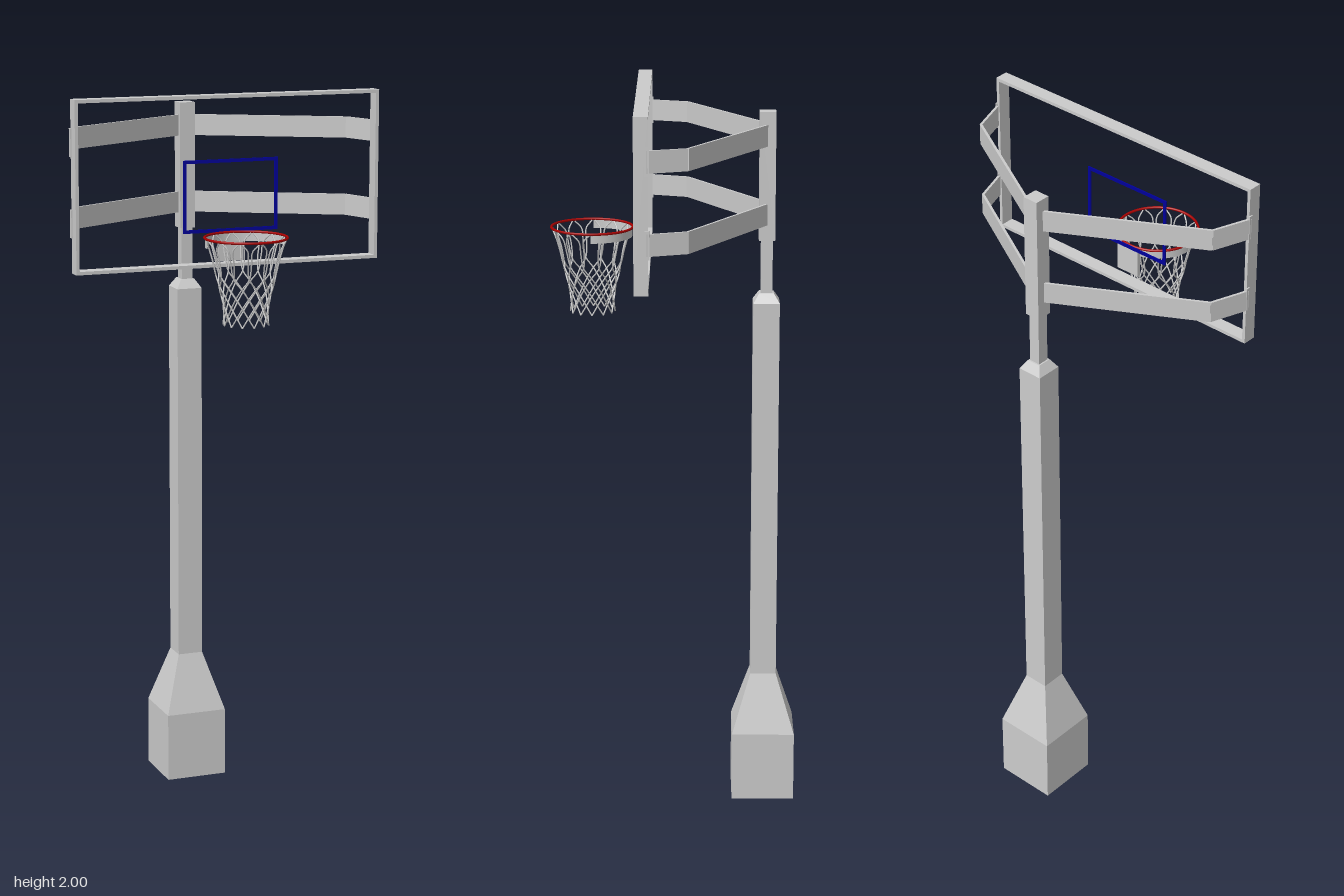
import * as THREE from 'three';
import { mergeGeometries } from 'three/addons/utils/BufferGeometryUtils.js';

const grey = new THREE.MeshStandardMaterial({ color: 0xcccccc, flatShading: true });
const greySmooth = new THREE.MeshStandardMaterial({ color: 0xcccccc, side: THREE.DoubleSide });
const red = new THREE.MeshStandardMaterial({ color: 0xaa0000 });
const blue = new THREE.MeshStandardMaterial({ color: 0x000099 });

const POLE_Z = -0.25, RIM_Y = 1.635, RIM_Z = 0.223, RIM_R = 0.11;

export function createModel() {
  const model = new THREE.Group();

  function add(name, geometry, material, x = 0, y = 0, z = 0) {
    const mesh = new THREE.Mesh(geometry, material);
    mesh.name = name;
    mesh.position.set(x, y, z);
    model.add(mesh);
    return mesh;
  }

  // Square column from [halfWidth, y] steps
  function squareColumn(profile) {
    const points = profile.map(([h, y]) => new THREE.Vector2(h * Math.SQRT2, y));
    return new THREE.LatheGeometry(points, 4, Math.PI / 4);
  }

  // Rectangular frame standing in the xy plane
  function frame(width, height, bar, depth) {
    const rect = (P, w, h) => new P([[-w, -h], [w, -h], [w, h], [-w, h]]
      .map(([x, y]) => new THREE.Vector2(x / 2, y / 2)));
    const shape = rect(THREE.Shape, width, height);
    shape.holes.push(rect(THREE.Path, width - 2 * bar, height - 2 * bar));
    return new THREE.ExtrudeGeometry(shape, { depth, bevelEnabled: false });
  }

  // Padded base, post and the thinner extension above it
  add('paddedPost', squareColumn([[0, 0], [0.0875, 0], [0.0875, 0.195], [0.036, 0.36],
    [0.036, 1.43], [0.02, 1.455], [0, 1.455]]), grey, 0, 0, POLE_Z);
  add('postExtension', squareColumn([[0.016, 1.45], [0.016, 1.6]]), grey, 0, 0, POLE_Z);
  add('postHead', squareColumn([[0, 1.6], [0.022, 1.6], [0.022, 1.95], [0, 1.95]]), grey, 0, 0, POLE_Z);

  // Backboard frame and target square
  add('backboardFrame', frame(0.864, 0.46, 0.009, 0.038), grey, 0, 1.77, 0.065);
  add('targetSquare', frame(0.27, 0.195, 0.009, 0.004), blue, 0.003, 1.732, 0.098);

  // Bent flat arms from the post to both sides of the frame
  const armLine = [[0.015, -0.25], [0.396, -0.035], [0.433, 0.07]];
  for (const side of [-1, 1]) {
    for (const y of [1.672, 1.886]) {
      const bars = armLine.slice(1).map(([x2, z2], i) => {
        const [x1, z1] = armLine[i];
        const dx = (x2 - x1) * side, dz = z2 - z1;
        const bar = new THREE.BoxGeometry(Math.hypot(dx, dz), 0.058, 0.007);
        bar.rotateY(-Math.atan2(dz, dx));
        return bar.translate((x1 + x2) / 2 * side, y, (z1 + z2) / 2);
      });
      // End tab fixed to the frame
      bars.push(new THREE.BoxGeometry(0.005, 0.075, 0.012).translate(0.433 * side, y, 0.068));
      add(side > 0 ? 'leftArm' : 'rightArm', mergeGeometries(bars), grey);
    }
  }

  // Rim, its mounting plate and the curved support under its rear half
  const ring = new THREE.TorusGeometry(RIM_R, 0.0035, 8, 48).rotateX(Math.PI / 2);
  add('rim', ring, red, 0, RIM_Y, RIM_Z);
  add('mountingPlate', new THREE.BoxGeometry(0.07, 0.075, 0.01), grey, 0, 1.595, 0.106);
  add('rimSupport', new THREE.CylinderGeometry(0.109, 0.109, 0.022, 24, 1, true, Math.PI / 2, Math.PI),
    greySmooth, 0, 1.621, RIM_Z);

  // Net: mirrored strands that hang as loops, then cross into diamonds
  const loops = 12, pitch = Math.PI * 2 / loops;
  // [radius, y, sideways shift in loop pitches]
  const strand = [[0.108, 1.632, 0.06], [0.1, 1.612, 0.38], [0.089, 1.575, 0.4], [0.08, 1.535, 0.5],
    [0.073, 1.507, 1], [0.066, 1.48, 1.5], [0.061, 1.454, 2], [0.059, 1.428, 2.5], [0.061, 1.402, 3]];
  const cords = [];
  for (let i = 0; i < loops; i++) {
    for (const dir of [-1, 1]) {
      const path = strand.map(([r, y, shift]) => {
        const a = (i + dir * shift) * pitch;
        return new THREE.Vector3(r * Math.sin(a), y, r * Math.cos(a));
      });
      cords.push(new THREE.TubeGeometry(new THREE.CatmullRomCurve3(path), 32, 0.0021, 5));
    }
  }
  add('net', mergeGeometries(cords), greySmooth, 0, 0, RIM_Z);

  return model;
}
